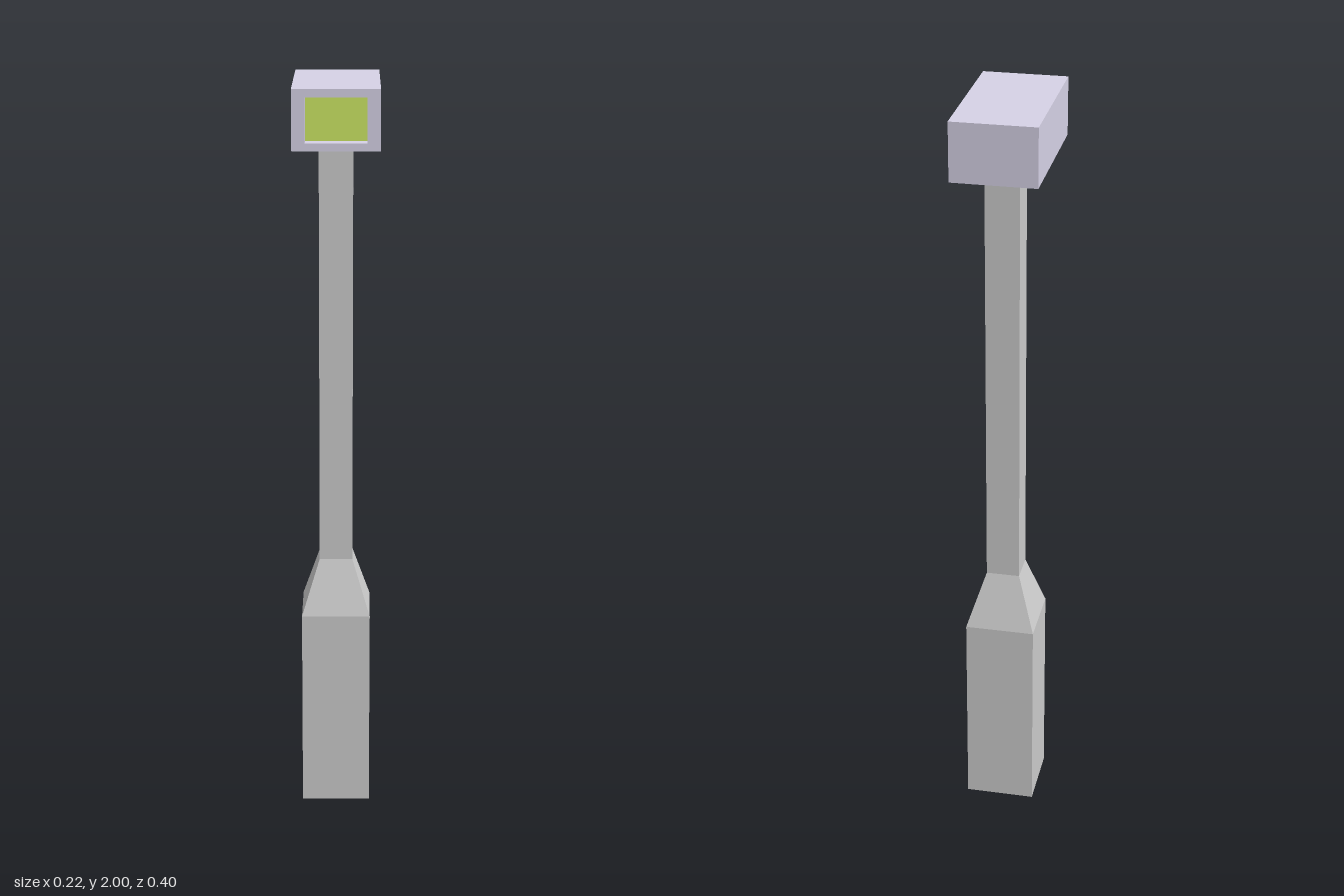
import * as THREE from 'three';

const casing = new THREE.MeshStandardMaterial({ color: 0xd6d2e6 });
const lens = new THREE.MeshStandardMaterial({ color: 0xcde764 });
const metal = new THREE.MeshStandardMaterial({ color: 0xcccccc, flatShading: true });

const HEAD = { w: 0.22, h: 0.153, front: 0.2, back: -0.2, y: 1.9235 };
const WINDOW = { w: 0.154, h: 0.112, depth: 0.04 };

function addMesh(parent, name, geometry, material, x, y, z) {
  const mesh = new THREE.Mesh(geometry, material);
  mesh.name = name;
  mesh.position.set(x, y, z);
  parent.add(mesh);
}

function rectangle(PathType, w, h) {
  return new PathType([
    new THREE.Vector2(-w / 2, -h / 2),
    new THREE.Vector2(w / 2, -h / 2),
    new THREE.Vector2(w / 2, h / 2),
    new THREE.Vector2(-w / 2, h / 2),
  ]);
}

// Square column from [half width, height] pairs, closed at both ends
function squareColumn(profile) {
  const points = profile.map(([half, y]) => new THREE.Vector2(half * Math.SQRT2, y));
  return new THREE.LatheGeometry(points, 4, Math.PI / 4).toNonIndexed();
}

export function createModel() {
  const model = new THREE.Group();

  // Post: wide square base, tapered shoulder, slim square shaft
  addMesh(model, 'post', squareColumn([
    [0, 0], [0.0925, 0], [0.0925, 0.55], [0.0445, 0.7], [0.0445, 1.85], [0, 1.85],
  ]), metal, -0.002, 0, -0.06);

  // Head: solid body with a rimmed window recessed into its front
  const head = new THREE.Group();
  head.name = 'head';
  head.position.y = HEAD.y;
  model.add(head);

  const recess = HEAD.front - WINDOW.depth;
  addMesh(head, 'housing', new THREE.BoxGeometry(HEAD.w, HEAD.h, recess - HEAD.back),
    casing, 0, 0, (recess + HEAD.back) / 2);

  const rim = rectangle(THREE.Shape, HEAD.w, HEAD.h);
  rim.holes.push(rectangle(THREE.Path, WINDOW.w, WINDOW.h));
  addMesh(head, 'windowRim',
    new THREE.ExtrudeGeometry(rim, { depth: WINDOW.depth, bevelEnabled: false }),
    casing, 0, 0, recess);

  addMesh(head, 'window', new THREE.PlaneGeometry(WINDOW.w, WINDOW.h), lens, 0, 0, recess + 0.001);

  return model;
}
